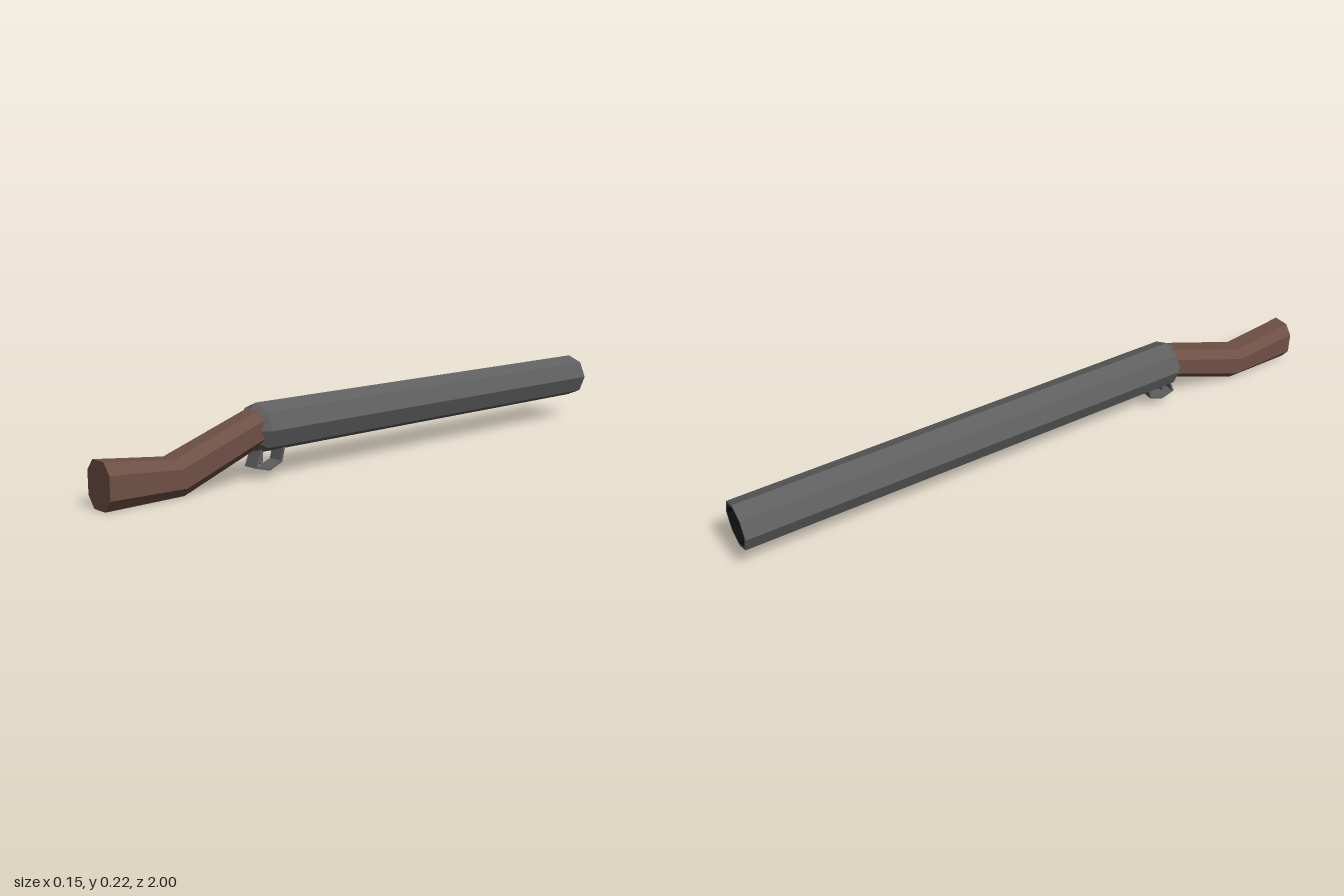
import * as THREE from 'three';

export function createModel() {
  const group = new THREE.Group();
  const material = (name, color) => {
    const m = new THREE.MeshStandardMaterial({ color, flatShading: true });
    m.name = name;
    return m;
  };
  const steel = material('dark steel', 0x5f5f5f);
  const wood = material('brown wood', 0x6e5044);
  const black = material('bore black', 0x0c0c0c);

  const add = (name, geometry, mat) => {
    const mesh = new THREE.Mesh(geometry, mat);
    mesh.name = name;
    group.add(mesh);
    return mesh;
  };

  // Octagonal tubes along z, from [radius, z] profiles
  const tube = (profile) =>
    new THREE.LatheGeometry(profile.map(([r, z]) => new THREE.Vector2(r, z)), 8)
      .rotateX(Math.PI / 2).translate(0, 0.146, 0);
  add('barrel', tube([[0.063, -1], [0.073, -1], [0.073, 0.485], [0.052, 0.51], [0, 0.51]]), steel);
  add('bore', tube([[0, 0.44], [0.063, 0.44], [0.063, -1]]), black);

  // Stock: chamfered sections [top z, top y, bottom z, bottom y], butt first
  const sections = [
    [1, 0.131, 1, 0],
    [0.785, 0.105, 0.757, 0],
    [0.48, 0.207, 0.455, 0.112],
  ];
  // Section corners as [x, share of height], counter-clockwise from the front
  const corners = [
    [-0.026, 0], [0.026, 0], [0.052, 0.25], [0.052, 0.76],
    [0.026, 1], [-0.026, 1], [-0.052, 0.76], [-0.052, 0.25],
  ];
  const positions = [];
  const index = [];
  for (const [zt, yt, zb, yb] of sections)
    for (const [x, t] of corners) positions.push(x, yb + (yt - yb) * t, zb + (zt - zb) * t);
  const n = corners.length;
  for (let s = 0; s < sections.length - 1; s++)
    for (let i = 0; i < n; i++) {
      const a = s * n + i, b = s * n + (i + 1) % n;
      index.push(a, a + n, b, b, a + n, b + n);
    }
  const last = (sections.length - 1) * n;
  for (let i = 1; i < n - 1; i++) {
    index.push(0, i, i + 1);
    index.push(last, last + i + 1, last + i);
  }
  const stock = new THREE.BufferGeometry();
  stock.setAttribute('position', new THREE.Float32BufferAttribute(positions, 3));
  stock.setIndex(index);
  stock.computeVertexNormals();
  add('stock', stock, wood);

  // Side outlines [z, y] extruded across x
  const plate = (outline, width) =>
    new THREE.ExtrudeGeometry(
      new THREE.Shape(outline.map(([z, y]) => new THREE.Vector2(z, y))),
      { depth: width, bevelEnabled: false },
    ).translate(0, 0, -width / 2).rotateY(-Math.PI / 2);

  // Trigger guard: a thin bent band under the barrel
  const outer = [[0.49, 0.085], [0.511, 0.035], [0.46, 0.021], [0.413, 0.04], [0.401, 0.085]];
  const inner = [[0.407, 0.085], [0.418, 0.044], [0.461, 0.027], [0.503, 0.039], [0.484, 0.085]];
  add('triggerGuard', plate([...outer, ...inner], 0.05), steel);

  // Trigger
  add('trigger', plate([[0.468, 0.085], [0.486, 0.085], [0.484, 0.04], [0.472, 0.04]], 0.016), steel);

  return group;
}
